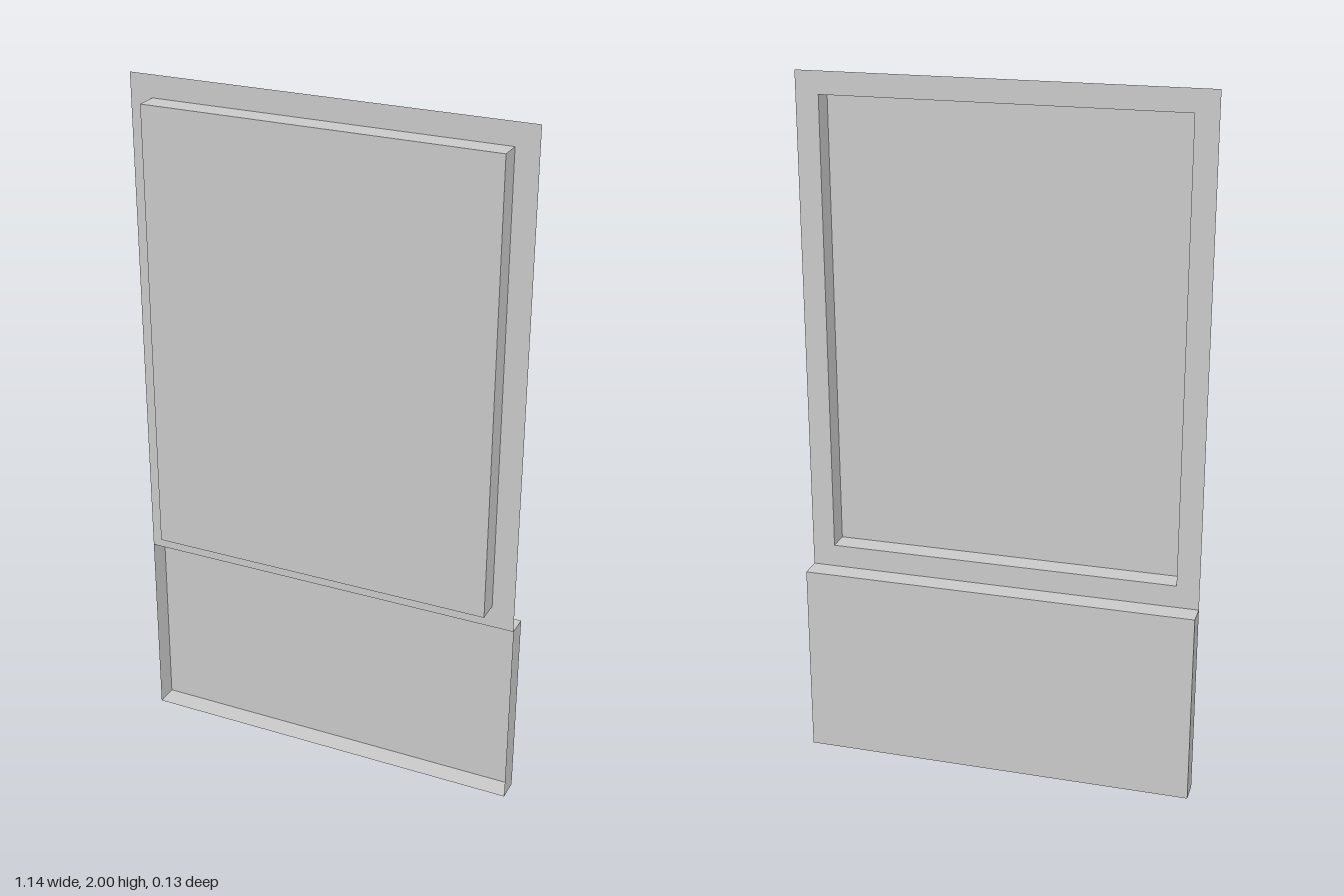
import * as THREE from 'three';

const HALF = 0.57, TOP = 2, SPLIT = 0.565, DEPTH = 0.064;
const OPENING = { x: 0.505, y0: 0.63, y1: 1.937 };

const material = new THREE.MeshStandardMaterial({
  color: 0xcccccc, side: THREE.DoubleSide, flatShading: true,
});

// Thin rectangular sheet
function sheet(name, w, h, position, rotation = [0, 0, 0]) {
  const mesh = new THREE.Mesh(new THREE.PlaneGeometry(w, h), material);
  mesh.name = name;
  mesh.position.set(...position);
  mesh.rotation.set(...rotation);
  return mesh;
}

// Pressed tray: open at z = 0, with four walls and a flat face at z = depth
function tray(name, halfW, y0, y1, depth) {
  const group = new THREE.Group();
  group.name = name;
  const h = y1 - y0, midY = (y0 + y1) / 2, d = Math.abs(depth), turn = Math.PI / 2;
  group.add(sheet(name + 'Face', halfW * 2, h, [0, midY, depth], [0, depth > 0 ? 0 : Math.PI, 0]));
  for (const s of [1, -1]) {
    group.add(sheet(name + (s > 0 ? 'LeftWall' : 'RightWall'), d, h,
      [s * halfW, midY, depth / 2], [0, s * turn, 0]));
    group.add(sheet(name + (s > 0 ? 'TopWall' : 'BottomWall'), halfW * 2, d,
      [0, s > 0 ? y1 : y0, depth / 2], [-s * turn, 0, 0]));
  }
  return group;
}

// Flat border around the upper opening
function border() {
  const shape = new THREE.Shape([
    new THREE.Vector2(-HALF, SPLIT), new THREE.Vector2(HALF, SPLIT),
    new THREE.Vector2(HALF, TOP), new THREE.Vector2(-HALF, TOP),
  ]);
  const { x, y0, y1 } = OPENING;
  shape.holes.push(new THREE.Path([
    new THREE.Vector2(-x, y0), new THREE.Vector2(-x, y1),
    new THREE.Vector2(x, y1), new THREE.Vector2(x, y0),
  ]));
  const mesh = new THREE.Mesh(new THREE.ShapeGeometry(shape), material);
  mesh.name = 'border';
  return mesh;
}

export function createModel() {
  const model = new THREE.Group();
  model.name = 'pressedPanel';
  model.add(border());
  // Upper panel stands forward, lower panel is recessed backward
  model.add(tray('upperPanel', OPENING.x, OPENING.y0, OPENING.y1, DEPTH));
  model.add(tray('lowerPanel', HALF, 0, SPLIT, -DEPTH));
  return model;
}
